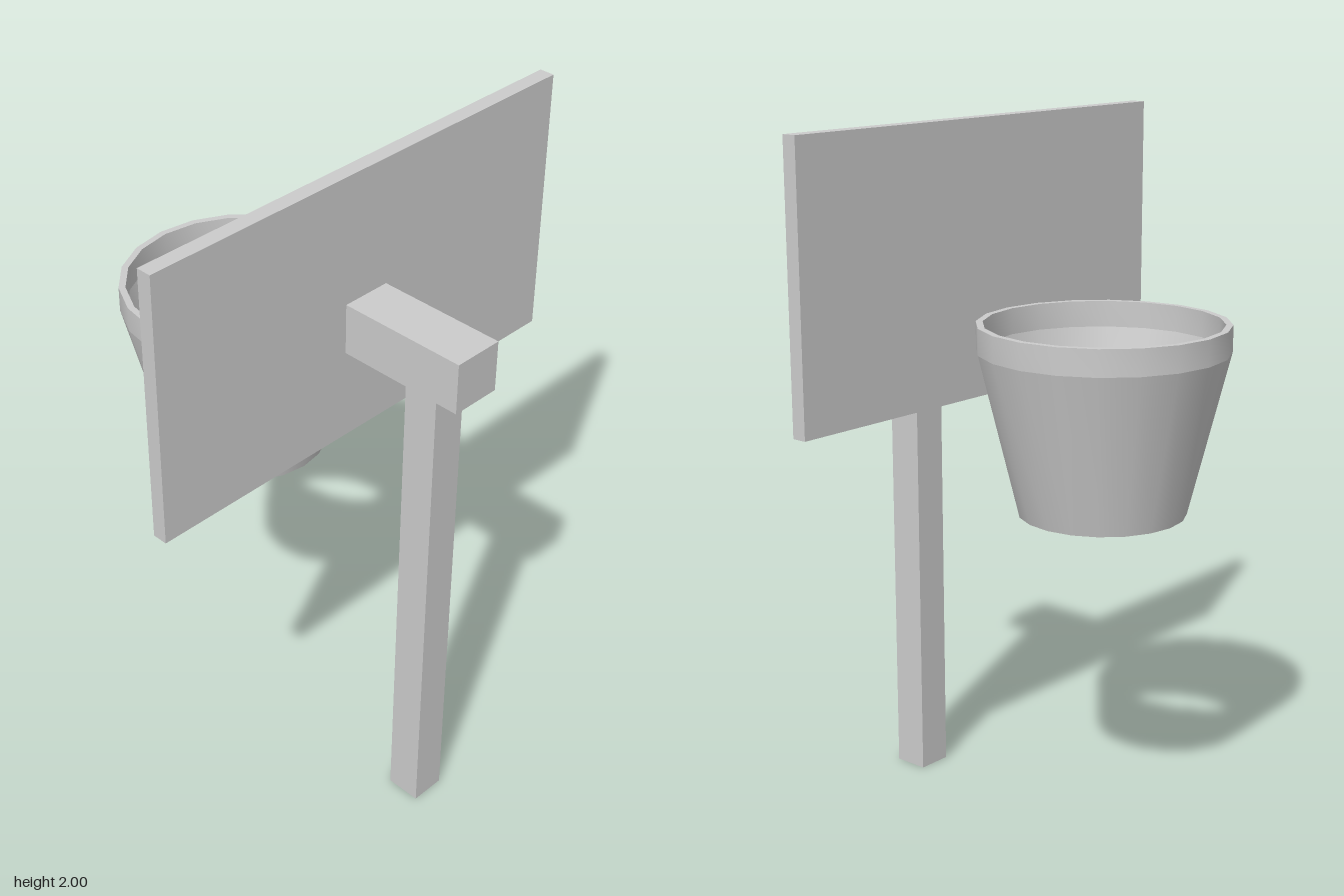
import * as THREE from 'three';
import { toCreasedNormals } from 'three/addons/utils/BufferGeometryUtils.js';

const SIDES = 20;

export function createModel() {
  const group = new THREE.Group();
  group.name = 'basketballHoop';
  const grey = new THREE.MeshStandardMaterial({ color: 0xcccccc });
  const greyThin = new THREE.MeshStandardMaterial({ color: 0xcccccc, side: THREE.DoubleSide });

  // Box given by its extents in x and y, and its half depth in z
  function addBox(name, x0, x1, y0, y1, halfZ) {
    const mesh = new THREE.Mesh(new THREE.BoxGeometry(x1 - x0, y1 - y0, 2 * halfZ), grey);
    mesh.position.set((x0 + x1) / 2, (y0 + y1) / 2, 0);
    mesh.name = name;
    group.add(mesh);
  }

  // Turned part around the hoop's axis, from [radius, height] pairs
  function addTurned(name, profile, material) {
    const points = profile.map(([r, y]) => new THREE.Vector2(r, y));
    const geometry = toCreasedNormals(new THREE.LatheGeometry(points, SIDES), Math.PI / 5);
    const mesh = new THREE.Mesh(geometry, material);
    mesh.position.x = -0.25;
    mesh.name = name;
    group.add(mesh);
  }

  // Support and board
  addBox('post', 0.405, 0.509, 0, 1.482, 0.052);
  addBox('arm', 0.212, 0.594, 1.482, 1.63, 0.074);
  addBox('backboard', 0.168, 0.212, 1.216, 2, 0.713);
  addBox('rimBracket', 0.085, 0.168, 1.417, 1.438, 0.037);

  // Ring with a flat top, closed all round
  addTurned('rim', [[0.347, 1.402], [0.347, 1.476], [0.328, 1.476], [0.328, 1.402], [0.347, 1.402]], grey);

  // Tapered net, open at both ends
  addTurned('net', [[0.234, 0.945], [0.347, 1.402]], greyThin);

  return group;
}
